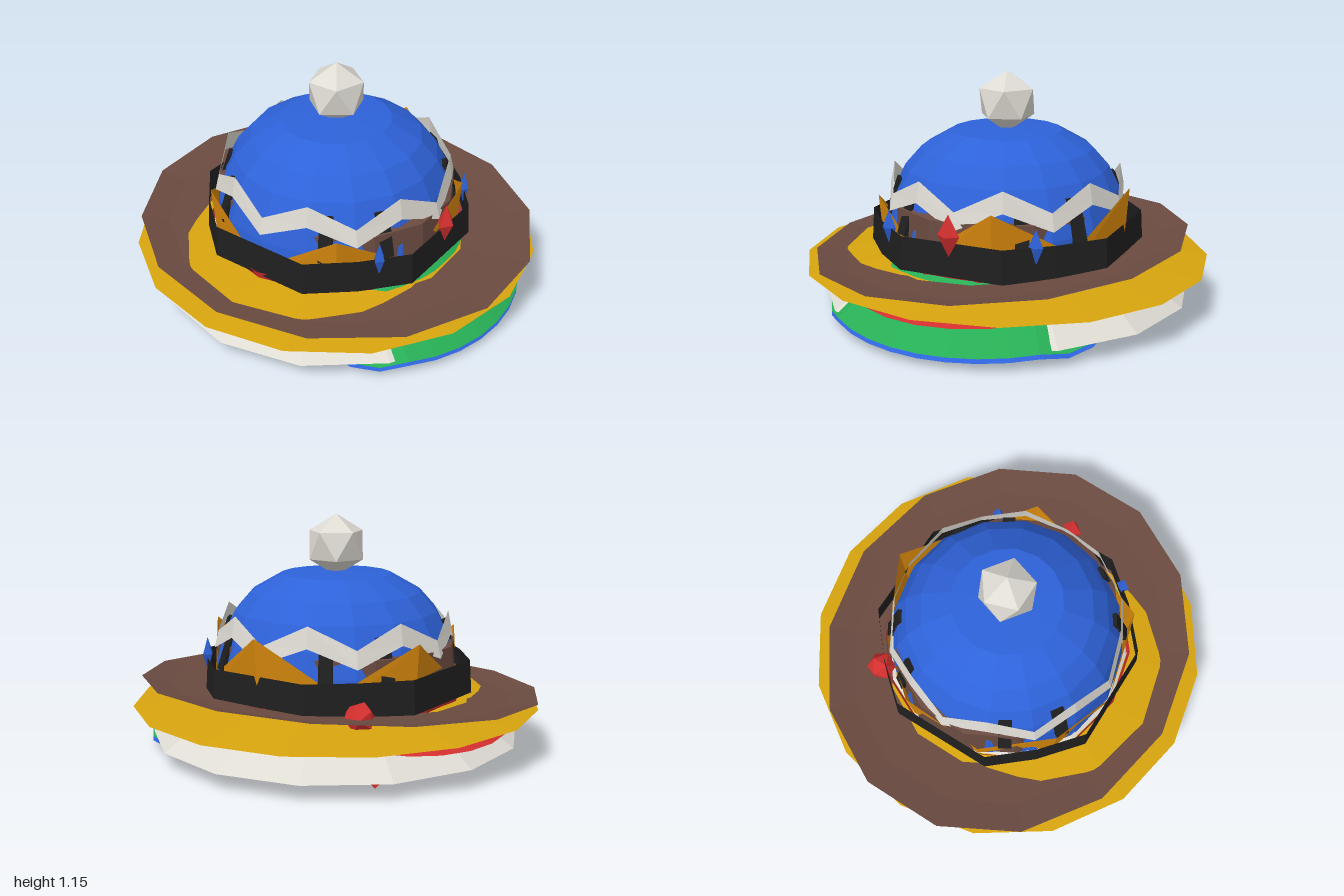
import * as THREE from 'three';

const mat = (name, color) => {
  const m = new THREE.MeshStandardMaterial({ color, flatShading: true, side: THREE.DoubleSide });
  m.name = name;
  return m;
};

export function createModel() {
  const hat = new THREE.Group();
  hat.name = 'layeredHat';
  const blue = mat('blue', 0x2e62d9), white = mat('white', 0xdedbd3), gold = mat('gold', 0xd6a30e);
  const orange = mat('orange', 0xd4860c), brown = mat('brown', 0x6a4a40), black = mat('black', 0x1f1f1f);
  const red = mat('red', 0xd42f2f), green = mat('green', 0x27ae55);

  const add = (name, geo, m, x = 0, y = 0, z = 0) => {
    const mesh = new THREE.Mesh(geo, m);
    mesh.name = name;
    mesh.position.set(x, y, z);
    hat.add(mesh);
    return mesh;
  };
  // Revolved profile of [radius, height] pairs
  const lathe = (pts, n, start = 0) =>
    new THREE.LatheGeometry(pts.map(p => new THREE.Vector2(...p)), n, start);
  // Quad grid from a rule f(column, row) => [x, y, z]
  const sheet = (nu, nv, f) => {
    const pos = [], idx = [];
    for (let j = 0; j <= nv; j++) for (let i = 0; i <= nu; i++) pos.push(...f(i, j));
    for (let j = 0; j < nv; j++) for (let i = 0; i < nu; i++) {
      const a = j * (nu + 1) + i, b = a + nu + 1;
      idx.push(a, a + 1, b, a + 1, b + 1, b);
    }
    const g = new THREE.BufferGeometry();
    g.setAttribute('position', new THREE.Float32BufferAttribute(pos, 3));
    g.setIndex(idx);
    g.computeVertexNormals();
    return g;
  };
  const half14 = Math.PI / 14;

  // Dome and its lining
  const dome = [[0.6, 0.27], [0.585, 0.46], [0.555, 0.58], [0.5, 0.69], [0.42, 0.78], [0.27, 0.866], [0, 0.882]];
  add('dome', lathe(dome, 16), blue);
  add('domeLining', lathe(dome.map(([r, y]) => [r * 0.96, y - 0.02]), 14, half14), white);

  // Pompom, with a corner pointing up
  add('pompom', new THREE.IcosahedronGeometry(0.152, 0), white, 0, 1.003, 0).rotation.z = -0.5536;

  // Zigzag trim with eight peaks
  add('zigzagTrim', sheet(16, 1, (i, j) => {
    const a = i * Math.PI / 8, peak = i % 2;
    const r = (peak ? 0.555 : 0.58) + (j ? 0 : 0.02);
    return [r * Math.sin(a), (peak ? 0.6 : 0.51) + j * (peak ? 0.1 : 0.085), r * Math.cos(a)];
  }), white);

  // Five-pointed crown, slightly tilted
  add('pointedCrown', sheet(10, 1, (i, j) => {
    const a = i * Math.PI / 5, peak = i % 2 === 0;
    const r = j && peak ? 0.635 : 0.61, x = r * Math.cos(a);
    return [x, (j ? (peak ? 0.6 : 0.37) : 0.3) + 0.06 * x, r * Math.sin(a)];
  }), orange);

  // Black band and its eight prongs
  const bandAngles = [];
  for (let q = 0; q < 4; q++) for (const d of [22.5, 45, 67.5]) bandAngles.push((q * 90 + d) * Math.PI / 180);
  add('blackBand', sheet(12, 1, (i, j) => {
    const r = (i % 3 === 1 ? 0.645 : 0.675) - 0.01 * j, a = bandAngles[i % 12];
    return [r * Math.sin(a), 0.3 + 0.16 * j, r * Math.cos(a)];
  }), black);
  for (let q = 0; q < 4; q++) for (const d of [31, 59]) {
    const a = (q * 90 + d) * Math.PI / 180;
    const prong = add('prong', new THREE.BoxGeometry(0.065, 0.22, 0.05), black,
      0.548 * Math.sin(a), 0.53, 0.548 * Math.cos(a));
    prong.rotation.set(-0.32, a, 0, 'YXZ');
  }

  // Brown oval hat: brim tilted towards the right side, and crown
  const brim = add('brownBrim', lathe([[0.6, 0.285], [0.78, 0.292], [0.91, 0.315]], 14, half14), brown);
  brim.scale.z = 1.025 / 0.91;
  brim.rotation.z = 0.05;
  const crown = add('brownCrown', lathe([[0.57, 0.29], [0.555, 0.545], [0.5, 0.565]], 14, half14), brown);
  crown.scale.z = 1.08;

  // Flat gold brim and sloping white brim
  add('goldBrim', lathe([[0.6, 0.282], [1, 0.232]], 16), gold);
  const cone = r => 0.28 - 0.714 * (r - 0.62);
  add('whiteBrim', lathe([[0.6, 0.3], [0.62, cone(0.62)], [0.91, 0.078]], 14, half14), white);

  // Red band and the two red flaps
  add('redBand', lathe([[0.61, 0.24], [0.635, 0.32]], 14, half14), red);
  const flap = (dir, reach, yMid, ySide) => sheet(10, 2, (i, j) => {
    const t = i / 5 - 1, s = j / 2, a = t * 1.0, b = t * Math.PI / 2;
    const x = THREE.MathUtils.lerp(0.6 * Math.sin(a), 0.53 * Math.sin(b), s);
    const z = THREE.MathUtils.lerp(0.6 * Math.cos(a), 0.45 + (reach - 0.45) * Math.cos(b), s);
    return [x, THREE.MathUtils.lerp(0.262, yMid + (ySide - yMid) * t * t, s), dir * z];
  });
  add('frontRedFlap', flap(1, 0.95, 0.19, 0.19), red);
  add('backRedFlap', flap(-1, 0.88, 0.15, 0.19), red);

  // Visor following the white brim, green above and blue below
  const visor = drop => sheet(16, 3, (i, j) => {
    const t = i / 8 - 1, a = t * 1.16;
    const outer = 0.95 - 0.09 * t * t - 0.17 * t ** 8;
    const r = THREE.MathUtils.lerp(0.62, outer, j / 3);
    const lift = Math.abs(a) < 0.6 ? 0.014 : -0.012;
    return [r * Math.sin(a), cone(r) + lift - drop, r * Math.cos(a)];
  });
  add('visorTop', visor(0), green);
  add('visorUnderside', visor(0.022), blue);

  // Inner sweatbands
  add('blueSweatband', lathe([[0.575, 0.27], [0.57, 0.31]], 14, half14), blue);
  add('redSweatband', lathe([[0.57, 0.31], [0.562, 0.345]], 14, half14), red);
  add('goldSweatband', lathe([[0.562, 0.345], [0.55, 0.41]], 14, half14), gold);

  // Gems on the front
  const gem = (name, m, w, h, x, y, z) =>
    add(name, new THREE.OctahedronGeometry(1, 0), m, x, y, z).scale.set(w, h, w * 0.75);
  gem('redGem', red, 0.055, 0.1, 0, 0.5, 0.635);
  for (const s of [-1, 1]) gem('blueGem', blue, 0.036, 0.085, s * 0.375, 0.46, 0.515);

  // Knot with its hanging tail
  add('knot', new THREE.IcosahedronGeometry(0.075, 0), red, 0.47, 0.31, -0.465);
  const tailPath = new THREE.CatmullRomCurve3([[0.47, 0.29, -0.46], [0.49, 0.15, -0.49], [0.48, 0.07, -0.52], [0.45, 0.015, -0.55]]
    .map(p => new THREE.Vector3(...p)));
  add('knotTail', new THREE.TubeGeometry(tailPath, 4, 0.032, 4), red);

  return hat;
}
